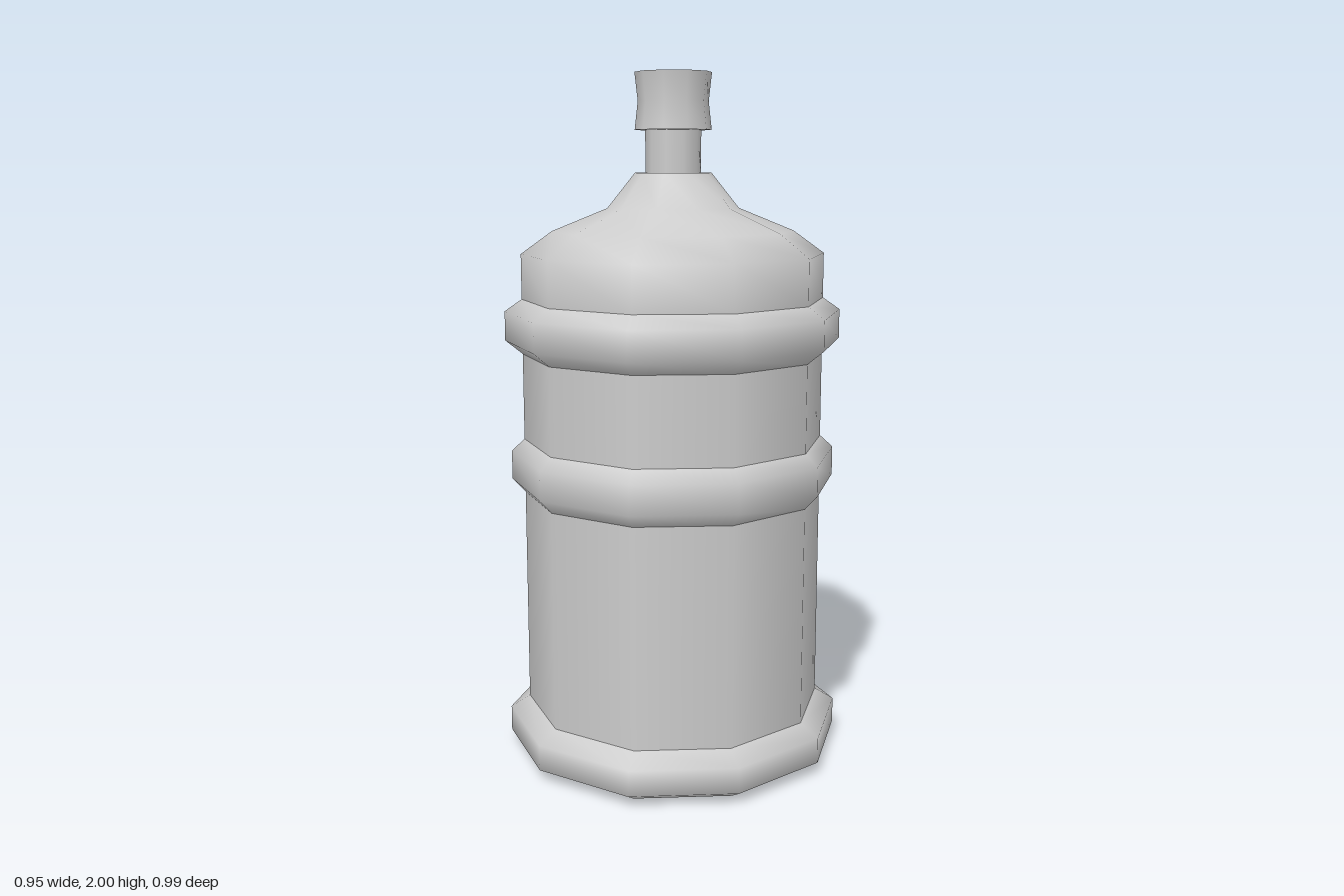
import * as THREE from 'three';

const SIDES = 10;
const BODY = 0.44;

export function createModel() {
  const group = new THREE.Group();
  const material = new THREE.MeshStandardMaterial({ color: 0xcccccc });

  // Each section is a ten-sided lathe of [radius, y] points, listed bottom to top;
  // sections share a seam but not normals, so seams stay sharp.
  const section = (name, ...profile) => {
    const points = profile.map(([r, y]) => new THREE.Vector2(r, y));
    const mesh = new THREE.Mesh(new THREE.LatheGeometry(points, SIDES), material);
    mesh.name = name;
    group.add(mesh);
  };

  // Bulging band around the body
  const band = (name, r, y0, y1) =>
    section(name, [BODY, y0], [r, y0 + 0.04], [r, y1 - 0.035], [BODY, y1]);

  // Base with closed underside
  section('base', [0, 0], [0.445, 0.005], [0.497, 0.035], [0.497, 0.11], [BODY, 0.145]);

  // Body walls and bands
  section('lowerBody', [BODY, 0.145], [BODY, 0.787]);
  band('middleBand', 0.478, 0.787, 0.947);
  section('upperBody', [BODY, 0.947], [BODY, 1.2]);
  band('upperBand', 0.49, 1.2, 1.36);

  // Shoulder rising to the neck
  section('shoulder', [BODY, 1.36], [BODY, 1.49], [0.35, 1.555], [0.19, 1.62], [0.11, 1.72]);
  section('shoulderRim', [0.11, 1.72], [0.08, 1.72]);
  section('neck', [0.08, 1.72], [0.08, 1.84]);

  // Waisted cap
  section('capUnderside', [0.08, 1.84], [0.11, 1.84]);
  section('cap', [0.11, 1.84], [0.101, 1.92], [0.11, 2]);
  section('capTop', [0.11, 2], [0, 2]);

  return group;
}
